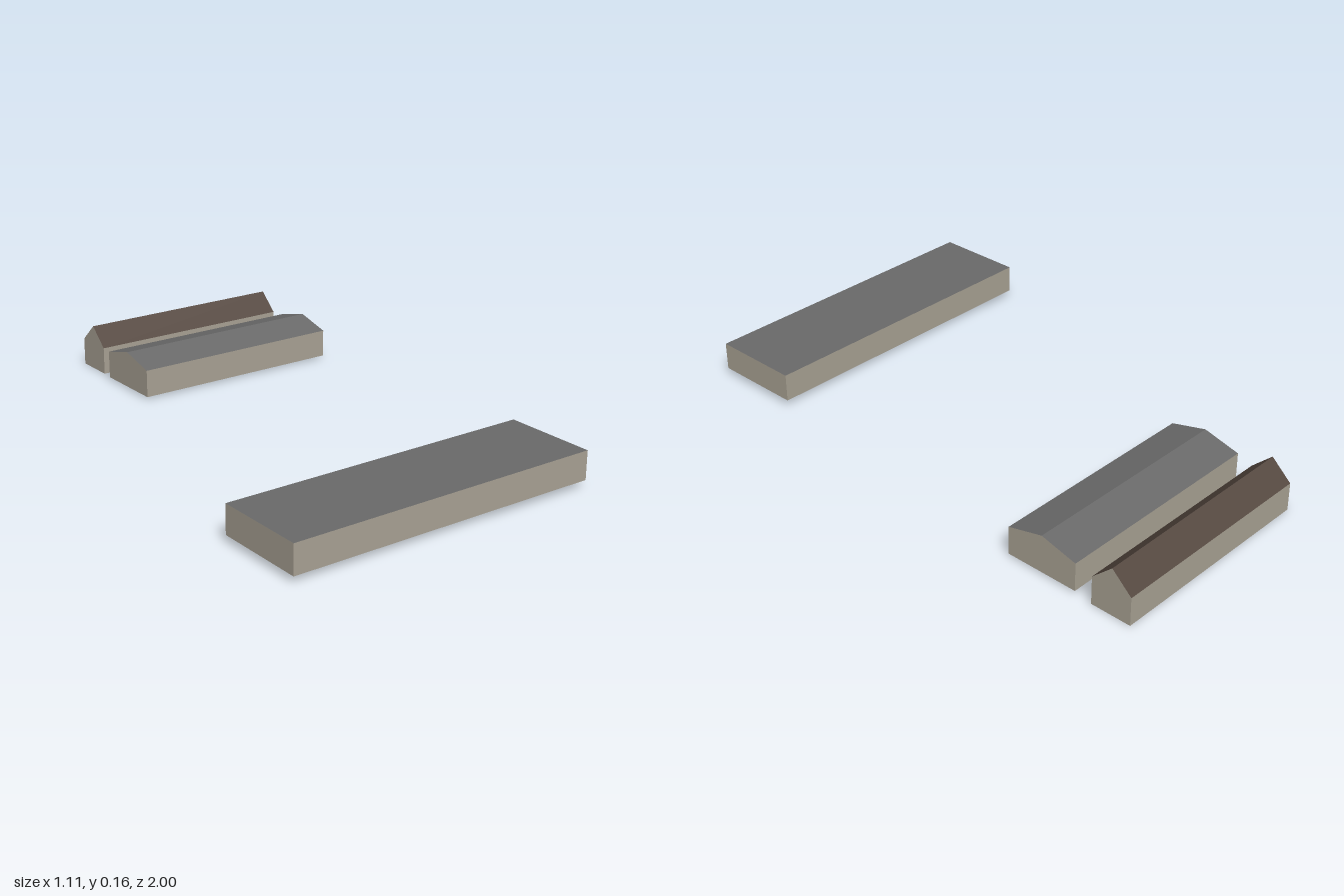
import * as THREE from 'three';
import { mergeGeometries } from 'three/addons/utils/BufferGeometryUtils.js';

const mat = (name, color) => {
  const m = new THREE.MeshStandardMaterial({ color, side: THREE.DoubleSide });
  m.name = name;
  return m;
};

// Flat convex face from its corners, counter-clockwise seen from outside
function face(points) {
  const flat = [];
  for (let i = 1; i < points.length - 1; i++) flat.push(...points[0], ...points[i], ...points[i + 1]);
  const g = new THREE.BufferGeometry();
  g.setAttribute('position', new THREE.Float32BufferAttribute(flat, 3));
  g.computeVertexNormals();
  return g;
}

// Hollow block, open below: eaves and ridge at the same height give a flat roof
function building(name, { length, width, base, eaves, ridge }, wallMat, roofMat) {
  const l = length / 2, w = width / 2;
  const walls = [], roof = [];
  for (const s of [1, -1]) {
    const side = (pts) => face(pts.map(([x, y, z]) => [x * s, y, z * s]));
    // long wall
    walls.push(side([[-l, base, w], [l, base, w], [l, eaves, w], [-l, eaves, w]]));
    // gable end
    walls.push(side([[l, base, w], [l, base, -w], [l, eaves, -w], [l, ridge, 0], [l, eaves, w]]));
    // roof slope
    roof.push(side([[-l, eaves, w], [l, eaves, w], [l, ridge, 0], [-l, ridge, 0]]));
  }
  const group = new THREE.Group();
  group.name = name;
  const wallMesh = new THREE.Mesh(mergeGeometries(walls), wallMat);
  wallMesh.name = name + 'Walls';
  const roofMesh = new THREE.Mesh(mergeGeometries(roof), roofMat);
  roofMesh.name = name + 'Roof';
  group.add(wallMesh, roofMesh);
  return group;
}

export function createModel() {
  const model = new THREE.Group();
  model.name = 'buildings';
  const wall = mat('stone wall', 0xa9a294);
  const grey = mat('grey roof', 0x6a6a6a);
  const brown = mat('brown roof', 0x54473f);

  // All three buildings share the same slight turn
  const place = (b, x, z) => {
    b.position.set(x, 0, z);
    b.rotation.y = 0.131;
    model.add(b);
  };

  place(building('flatHall', { length: 1.074, width: 0.312, base: 0.023, eaves: 0.118, ridge: 0.118 }, wall, grey), -0.002, 0.771);
  place(building('wideBarn', { length: 0.752, width: 0.252, base: 0.008, eaves: 0.103, ridge: 0.135 }, wall, grey), 0.075, -0.625);
  place(building('narrowBarn', { length: 0.741, width: 0.139, base: 0, eaves: 0.095, ridge: 0.159 }, wall, brown), 0.051, -0.883);
  return model;
}
